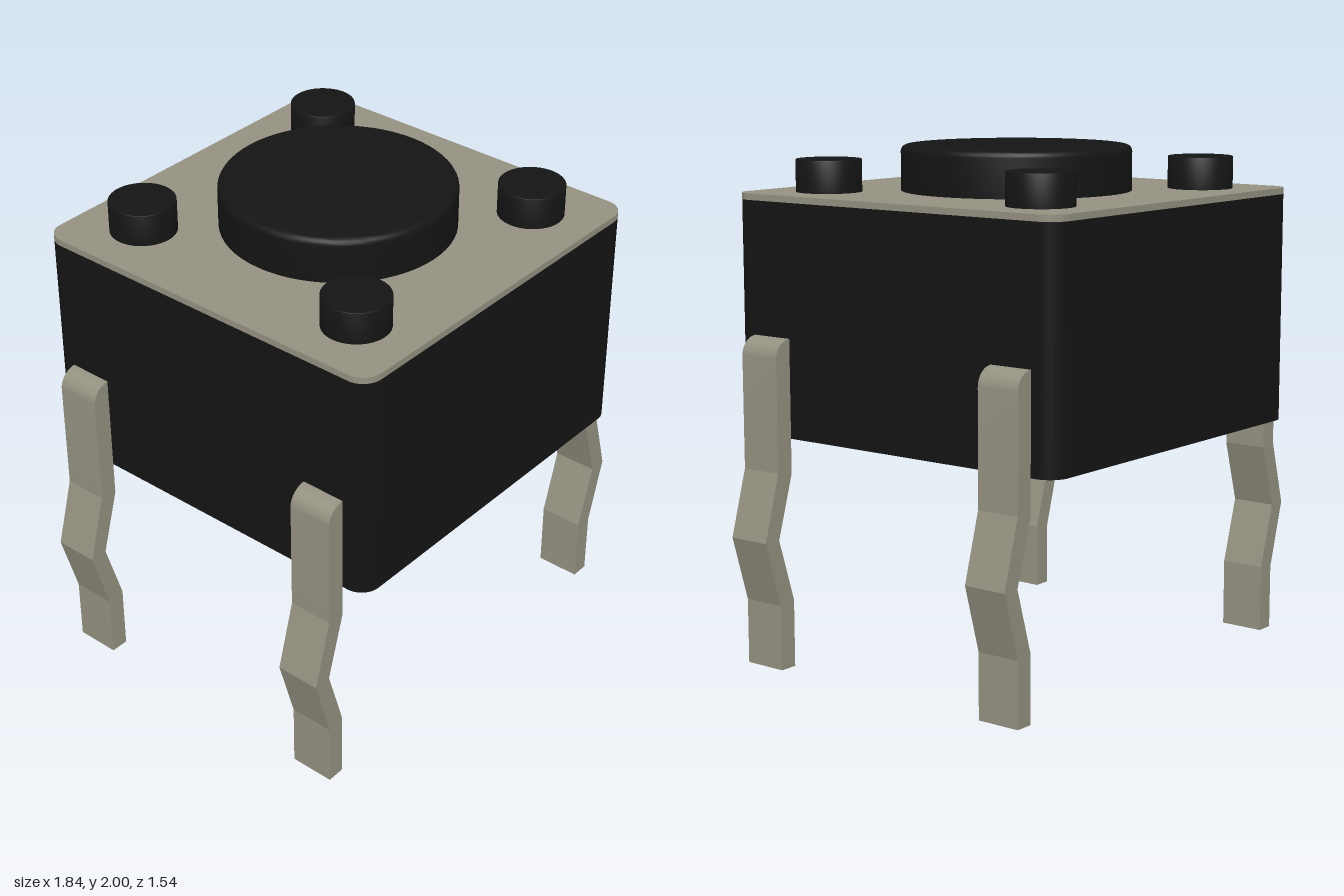
import * as THREE from 'three';
import { toCreasedNormals } from 'three/addons/utils/BufferGeometryUtils.js';

const black = new THREE.MeshStandardMaterial({ color: 0x141414 });
const metal = new THREE.MeshStandardMaterial({ color: 0x949181 });

function addMesh(parent, name, geometry, material) {
  const mesh = new THREE.Mesh(geometry, material);
  mesh.name = name;
  parent.add(mesh);
  return mesh;
}

// Upright square block with rounded vertical corners, from y0 to y1
function roundedSlab(half, r, y0, y1) {
  const s = new THREE.Shape();
  const c = half - r;
  s.absarc(c, c, r, 0, Math.PI / 2);
  s.absarc(-c, c, r, Math.PI / 2, Math.PI);
  s.absarc(-c, -c, r, Math.PI, Math.PI * 1.5);
  s.absarc(c, -c, r, Math.PI * 1.5, Math.PI * 2);
  s.closePath();
  const g = new THREE.ExtrudeGeometry(s, { depth: y1 - y0, bevelEnabled: false, curveSegments: 10 });
  g.rotateX(-Math.PI / 2).translate(0, y0, 0);
  return toCreasedNormals(g, 0.5);
}

// Round post with a softened top edge
function post(radius, y0, y1, fillet) {
  const pts = [new THREE.Vector2(0, y0), new THREE.Vector2(radius, y0)];
  for (let i = 0; i <= 5; i++) {
    const a = (i / 5) * Math.PI / 2;
    pts.push(new THREE.Vector2(radius - fillet + fillet * Math.cos(a), y1 - fillet + fillet * Math.sin(a)));
  }
  pts.push(new THREE.Vector2(0, y1));
  return toCreasedNormals(new THREE.LatheGeometry(pts, 64), 0.5);
}

// Kinked pin, profiled in x/y and centred on z = 0
function legGeometry() {
  const inner = 0.77, t = 0.073, top = 1.285, kink = 0.075;
  const outer = inner + t;
  const s = new THREE.Shape();
  s.moveTo(inner, 0);
  s.lineTo(outer, 0);
  s.lineTo(outer, 0.255);
  s.lineTo(outer + kink, 0.515);
  s.lineTo(outer, 0.775);
  s.lineTo(outer, top - t);
  s.absarc(inner, top - t, t, 0, Math.PI / 2);
  s.lineTo(inner, 0.765);
  s.lineTo(inner + kink, 0.515);
  s.lineTo(inner, 0.265);
  s.closePath();
  const width = 0.178;
  const g = new THREE.ExtrudeGeometry(s, { depth: width, bevelEnabled: false, curveSegments: 10 });
  return toCreasedNormals(g.translate(0, 0, -width / 2), 0.22);
}

export function createModel() {
  const model = new THREE.Group();
  model.name = 'pushButtonSwitch';

  addMesh(model, 'housing', roundedSlab(0.77, 0.08, 0.9, 1.8), black);
  addMesh(model, 'coverPlate', roundedSlab(0.77, 0.08, 1.8, 1.825), metal);
  addMesh(model, 'button', post(0.447, 1.82, 2, 0.025), black);

  // Four corner pegs and four legs
  const peg = post(0.127, 1.82, 1.95, 0.003);
  const leg = legGeometry();
  for (const x of [1, -1]) {
    for (const z of [1, -1]) {
      const corner = (x > 0 ? 'Left' : 'Right') + (z > 0 ? 'Front' : 'Back');
      addMesh(model, 'peg' + corner, peg, black).position.set(x * 0.512, 0, z * 0.512);
      const pin = addMesh(model, 'leg' + corner, leg, metal);
      pin.position.z = z * 0.578;
      if (x < 0) pin.rotation.y = Math.PI;
    }
  }
  return model;
}
